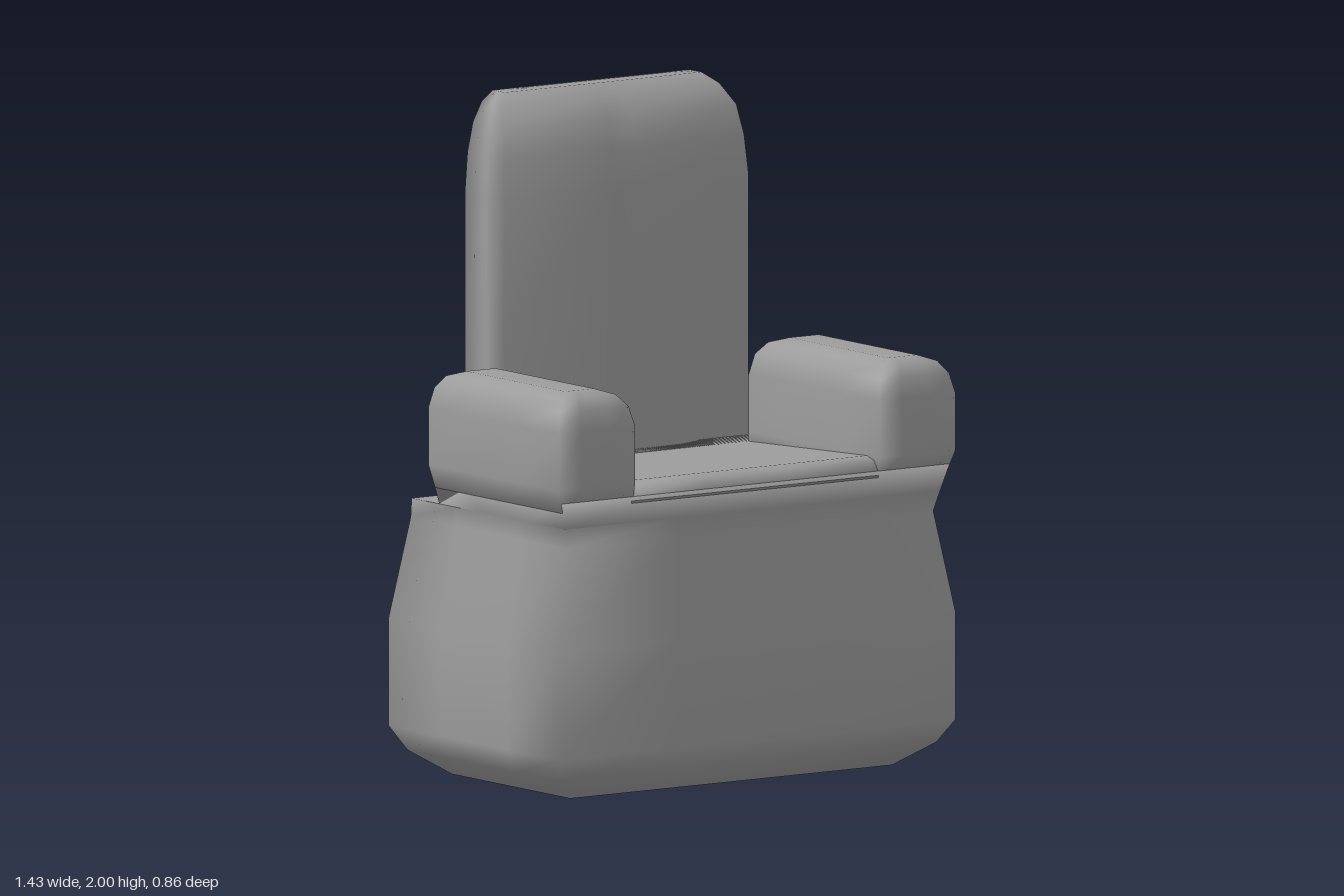
import * as THREE from 'three';

const material = new THREE.MeshStandardMaterial({ color: 0x9c9c9c });

// Smooth upholstered block lofted through rectangles [y, x0, x1, z0, z1], bottom to top.
// A larger inset spreads the soft shading further from the corners.
function loft(name, inset, sections) {
  const pos = [], index = [];
  const ring = ([y, x0, x1, z0, z1], shrink = 1) => {
    const cx = (x0 + x1) / 2, cz = (z0 + z1) / 2;
    const corners = [[x0, z1], [x1, z1], [x1, z0], [x0, z0]];
    corners.forEach((a, i) => {
      const b = corners[(i + 1) % 4];
      for (const t of [0, inset, 1 - inset]) {
        const x = a[0] + (b[0] - a[0]) * t, z = a[1] + (b[1] - a[1]) * t;
        pos.push(cx + (x - cx) * shrink, y, cz + (z - cz) * shrink);
      }
    });
  };
  const first = sections[0], last = sections[sections.length - 1];
  ring(first, 0.7);
  sections.forEach((s) => ring(s));
  ring(last, 0.6);
  const n = 12, rows = sections.length + 2;
  for (let r = 0; r < rows - 1; r++) {
    for (let i = 0; i < n; i++) {
      const a = r * n + i, b = r * n + (i + 1) % n;
      index.push(a, b, b + n, a, b + n, a + n);
    }
  }
  // Fans close the bottom and the top
  const bottom = pos.length / 3, top = bottom + 1;
  for (const [y, x0, x1, z0, z1] of [first, last]) pos.push((x0 + x1) / 2, y, (z0 + z1) / 2);
  for (let i = 0; i < n; i++) {
    const j = (i + 1) % n, t = (rows - 1) * n;
    index.push(bottom, j, i, top, t + i, t + j);
  }
  const geometry = new THREE.BufferGeometry();
  geometry.setAttribute('position', new THREE.Float32BufferAttribute(pos, 3));
  geometry.setIndex(index);
  geometry.computeVertexNormals();
  const mesh = new THREE.Mesh(geometry, material);
  mesh.name = name;
  return mesh;
}

export function createModel() {
  const chair = new THREE.Group();
  chair.name = 'armchair';

  // Base: bevelled foot, narrowed waist, a ledge behind the arms, then flaring up under them
  chair.add(loft('base', 0.3, [
    [0, 0.58, -0.30, 0.30], [0.07, 0.68, -0.385, 0.385], [0.14, 0.715, -0.432, 0.432],
    [0.46, 0.715, -0.432, 0.432], [0.76, 0.66, -0.397, 0.397], [0.82, 0.676, -0.37, 0.409],
    [0.82, 0.676, -0.23, 0.409], [0.9, 0.7, -0.23, 0.424],
  ].map(([y, x, z0, z1]) => [y, -x, x, z0, z1])));

  // Seat with a rolled front edge, dipping slightly towards the back
  const seat = loft('seat', 0.3, [
    [0.88, -0.445, 0.445, -0.23, 0.421], [0.905, -0.445, 0.445, -0.23, 0.423],
    [0.93, -0.445, 0.445, -0.23, 0.405], [0.94, -0.445, 0.445, -0.23, 0.37],
  ]);
  const p = seat.geometry.attributes.position;
  for (let i = 0; i < p.count; i++) {
    if (p.getY(i) > 0.935) p.setY(i, 0.94 - 0.03 * (0.37 - p.getZ(i)) / 0.6);
  }
  seat.geometry.computeVertexNormals();
  chair.add(seat);

  // Arms continue the flare and end in a rounded top
  for (const side of [-1, 1]) {
    const sections = [
      [0.87, 0.44, 0.691, -0.23, 0.418], [0.94, 0.44, 0.715, -0.23, 0.432],
      [1.11, 0.44, 0.715, -0.23, 0.432], [1.17, 0.455, 0.7, -0.22, 0.42],
      [1.205, 0.485, 0.675, -0.195, 0.395], [1.22, 0.53, 0.635, -0.15, 0.35],
    ].map(([y, a, b, z0, z1]) => (side > 0 ? [y, a, b, z0, z1] : [y, -b, -a, z0, z1]));
    chair.add(loft(side > 0 ? 'leftArm' : 'rightArm', 0.3, sections));
  }

  // Tall backrest, rounded at the top and sloped off at the front
  chair.add(loft('backrest', 0.45, [
    [0.74, 0.44, -0.395, -0.23], [0.76, 0.44, -0.397, -0.23], [0.94, 0.44, -0.432, -0.23],
    [1.3, 0.44, -0.432, -0.23], [1.7, 0.44, -0.432, -0.23], [1.82, 0.432, -0.43, -0.242],
    [1.91, 0.418, -0.422, -0.262], [1.97, 0.39, -0.416, -0.31], [2, 0.355, -0.41, -0.35],
  ].map(([y, x, z0, z1]) => [y, -x, x, z0, z1])));

  return chair;
}
